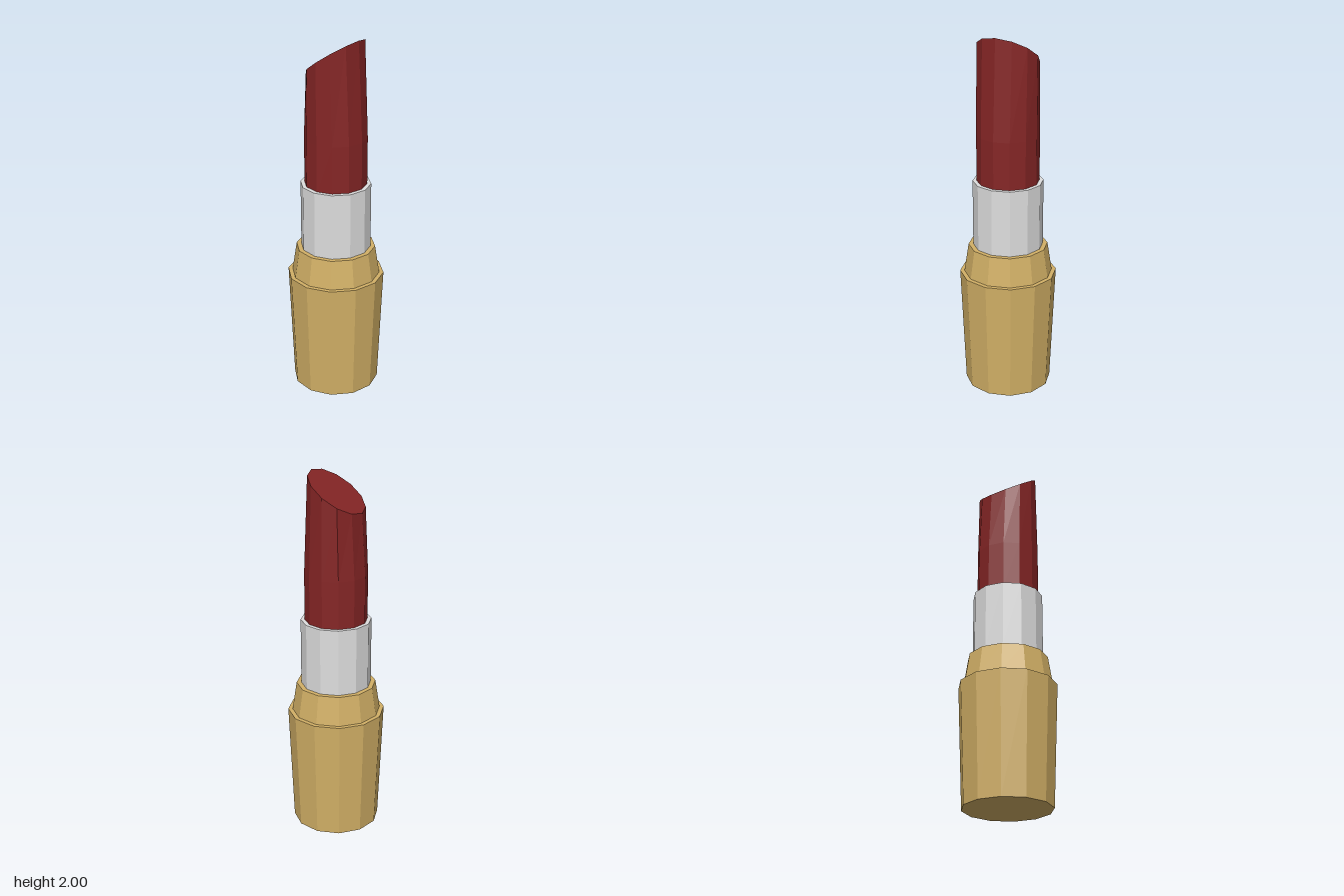
import * as THREE from 'three';

const SIDES = 12;

const flatMaterial = (name, color) => {
  const m = new THREE.MeshStandardMaterial({ color, flatShading: true });
  m.name = name;
  return m;
};

// Faceted tapered band between two heights
function band(name, material, bottomRadius, topRadius, y0, y1) {
  const geo = new THREE.CylinderGeometry(topRadius, bottomRadius, y1 - y0, SIDES).toNonIndexed();
  geo.translate(0, (y0 + y1) / 2, 0);
  geo.computeVertexNormals();
  const mesh = new THREE.Mesh(geo, material);
  mesh.name = name;
  return mesh;
}

// Straight stick whose top ring is narrowed in x and cut on a slant
function bullet(material) {
  const r = 0.17, base = 1.19, shoulder = 1.46;
  const geo = new THREE.CylinderGeometry(r, r, 2, SIDES, 2).toNonIndexed();
  const p = geo.attributes.position;
  for (let i = 0; i < p.count; i++) {
    const x = p.getX(i), y = p.getY(i);
    if (y > 0.5) {
      p.setX(i, x * 0.86 - 0.003);
      p.setY(i, 1.9 + 0.1 * x / r);
    } else {
      p.setY(i, y < -0.5 ? base : shoulder);
    }
  }
  geo.computeVertexNormals();
  const mesh = new THREE.Mesh(geo, material);
  mesh.name = 'slantedStick';
  return mesh;
}

export function createModel() {
  const gold = flatMaterial('gold', 0xd2b066);
  const silver = flatMaterial('silver', 0xdedede);
  const red = flatMaterial('deepRed', 0x852525);

  const group = new THREE.Group();
  group.name = 'lipstick';
  group.add(
    band('baseCase', gold, 0.24, 0.267, 0, 0.67),
    band('collar', gold, 0.243, 0.218, 0.67, 0.83),
    band('innerTube', silver, 0.192, 0.192, 0.83, 1.2),
    bullet(red)
  );
  return group;
}
